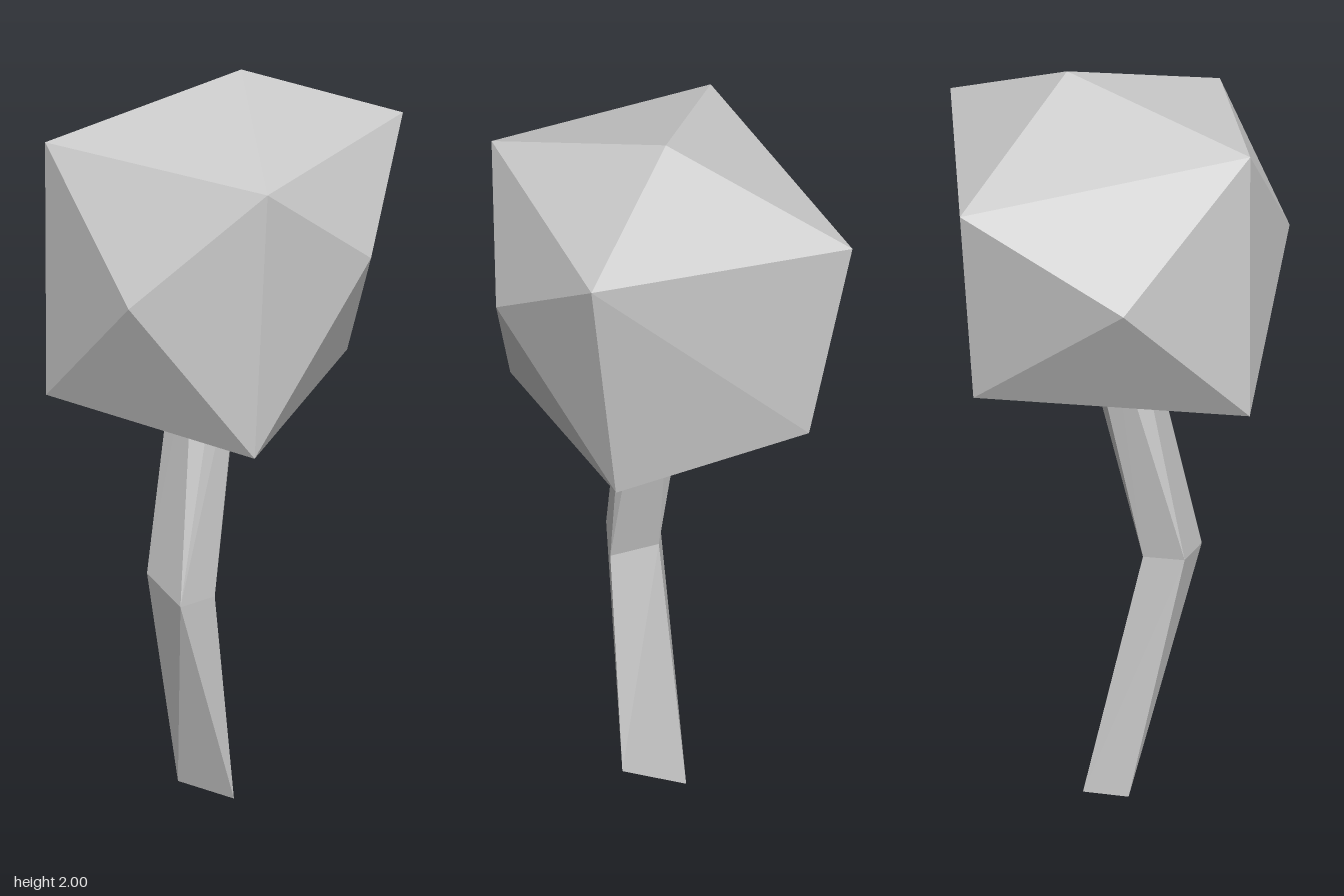
import * as THREE from 'three';

const material = new THREE.MeshStandardMaterial({ color: 0xcccccc, flatShading: true });

// Flat-shaded mesh from corner triples; collapsed triangles are dropped
function facetMesh(name, triangles) {
  const solid = triangles.filter(([a, b, c]) =>
    new THREE.Triangle(...[a, b, c].map(p => new THREE.Vector3(...p))).getArea() > 1e-7);
  const geometry = new THREE.BufferGeometry();
  geometry.setAttribute('position', new THREE.Float32BufferAttribute(solid.flat(2), 3));
  geometry.computeVertexNormals();
  const mesh = new THREE.Mesh(geometry, material);
  mesh.name = name;
  return mesh;
}

// Crown: an uneven box whose faces are either raised to a peak or split flat
function createCrown() {
  const topFL = [0.28, 1.88, 0.255], topFR = [-0.275, 1.9, 0.245];
  const topBL = [0.33, 1.86, -0.39], topBR = [-0.295, 1.795, -0.39];
  const lowFL = [0.26, 1.23, 0.26], lowFR = [-0.29, 1.265, 0.26];
  const lowBL = [0.243, 1.25, -0.31], lowBR = [-0.22, 1.31, -0.375];

  const peaked = (peak, corners) =>
    corners.map((corner, i) => [peak, corner, corners[(i + 1) % 4]]);
  const split = ([a, b, c, d]) => [[a, b, c], [a, c, d]];

  return facetMesh('crown', [
    ...peaked([0.03, 2, -0.13], [topFR, topFL, topBL, topBR]),
    ...peaked([0.01, 1.61, 0.39], [lowFR, lowFL, topFL, topFR]),
    ...peaked([0.405, 1.64, -0.04], [lowFL, lowBL, topBL, topFL]),
    ...peaked([-0.405, 1.59, -0.045], [lowBR, lowFR, topFR, topBR]),
    ...split([topBL, lowBL, lowBR, topBR]),
    ...split([lowBL, lowFL, lowFR, lowBR]),
  ]);
}

// Trunk: triangular foot, four-sided bend and eight-sided top, all as rings of eight
function createTrunk() {
  const doubled = ring => ring.flatMap(p => [p, p]);
  const footSide = [0.09, 0, 0];
  const foot = doubled([footSide, footSide, [-0.08, 0, 0], [-0.046, 0, -0.12]]);
  const bend = doubled([
    [0.075, 0.7, 0.09], [0.035, 0.72, 0.2], [-0.09, 0.75, 0.14], [-0.04, 0.735, 0.04],
  ]);
  const top = Array.from({ length: 8 }, (_, i) => {
    const angle = (i * 45 - 42) * Math.PI / 180;
    return [0.085 * Math.cos(angle), 1.4, -0.035 + 0.08 * Math.sin(angle)];
  });

  const triangles = [];
  for (const [low, high] of [[foot, bend], [bend, top]]) {
    for (let i = 0; i < 8; i++) {
      const j = (i + 1) % 8;
      triangles.push([low[i], high[i], low[j]], [low[j], high[i], high[j]]);
    }
  }
  for (let i = 1; i < 7; i++) {
    triangles.push([foot[0], foot[i], foot[i + 1]], [top[0], top[i + 1], top[i]]);
  }
  return facetMesh('trunk', triangles);
}

export function createModel() {
  const tree = new THREE.Group();
  tree.name = 'tree';
  tree.add(createTrunk(), createCrown());
  return tree;
}
